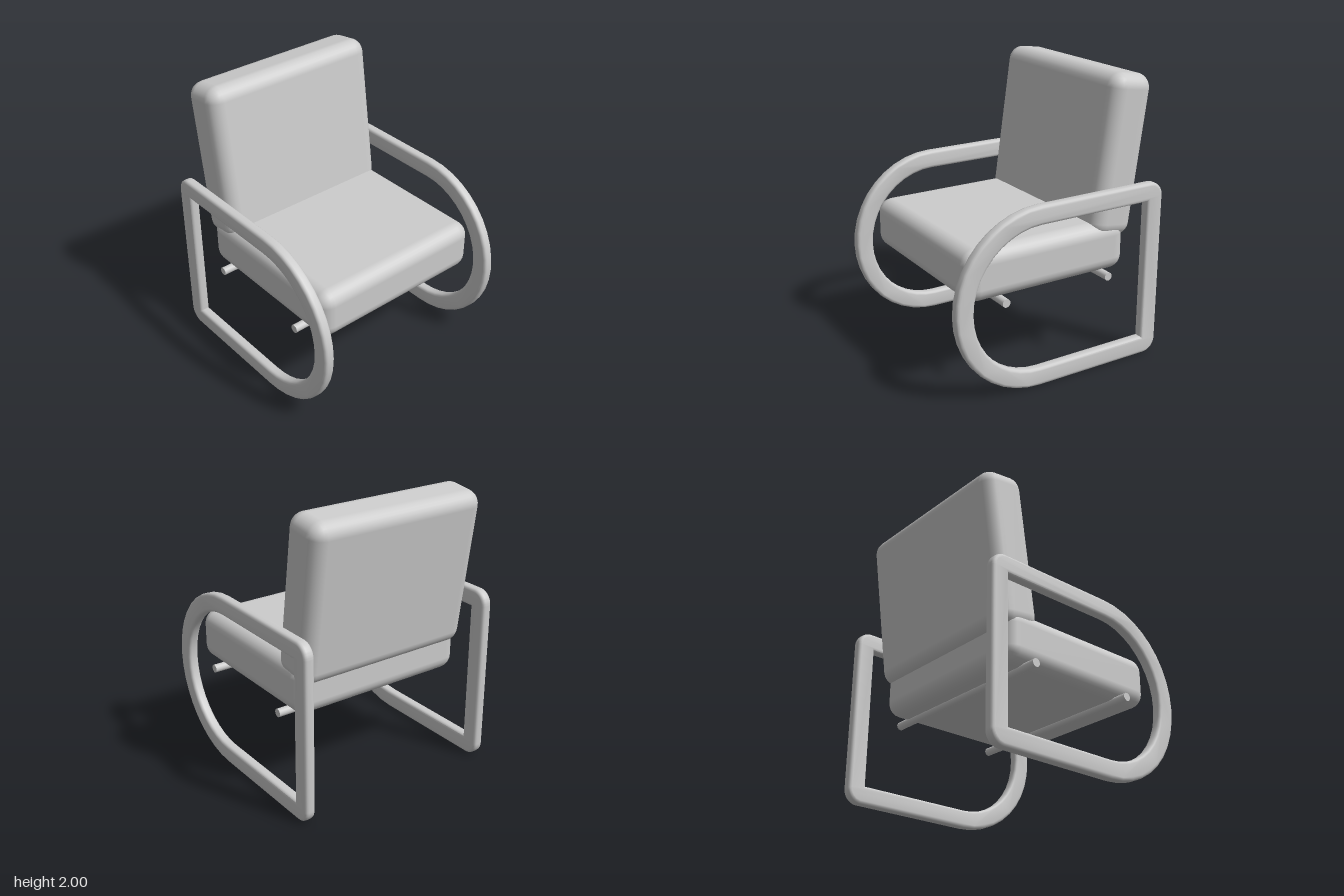
import * as THREE from 'three';
import { toCreasedNormals } from 'three/addons/utils/BufferGeometryUtils.js';
import { RoundedBoxGeometry } from 'three/addons/geometries/RoundedBoxGeometry.js';

const FRAME_HEIGHT = 1.264, BAR = 0.13, BACK = -0.806, ARC_Z = 0.174;

// D-shaped side frame, drawn in (z, y) and extruded across x
function frameGeometry() {
  const R = FRAME_HEIGHT / 2, r = R - BAR, corner = 0.1, bevel = 0.022, width = 0.075;
  const shape = new THREE.Shape();
  shape.moveTo(BACK + corner, 0);
  shape.lineTo(ARC_Z, 0);
  shape.absarc(ARC_Z, R, R, -Math.PI / 2, Math.PI / 2, false);
  shape.lineTo(BACK + corner, FRAME_HEIGHT);
  shape.absarc(BACK + corner, FRAME_HEIGHT - corner, corner, Math.PI / 2, Math.PI, false);
  shape.lineTo(BACK, corner);
  shape.absarc(BACK + corner, corner, corner, Math.PI, Math.PI * 1.5, false);

  // Opening: rounded in front, square at the back
  const hole = new THREE.Path();
  hole.moveTo(BACK + BAR, BAR);
  hole.lineTo(BACK + BAR, FRAME_HEIGHT - BAR);
  hole.lineTo(ARC_Z, FRAME_HEIGHT - BAR);
  hole.absarc(ARC_Z, R, r, Math.PI / 2, -Math.PI / 2, true);
  hole.lineTo(BACK + BAR, BAR);
  shape.holes.push(hole);

  const geometry = new THREE.ExtrudeGeometry(shape, {
    depth: width - 2 * bevel, bevelEnabled: true, bevelThickness: bevel,
    bevelSize: bevel, bevelOffset: -bevel, bevelSegments: 3, curveSegments: 10,
  });
  geometry.translate(0, 0, bevel - width / 2);
  geometry.rotateY(-Math.PI / 2);
  return toCreasedNormals(geometry, 0.7);
}

export function createModel() {
  const group = new THREE.Group();
  group.name = 'armchair';
  const grey = new THREE.MeshStandardMaterial({ color: 0xcccccc });
  grey.name = 'light grey';

  const add = (name, geometry, x, y, z) => {
    const mesh = new THREE.Mesh(geometry, grey);
    mesh.name = name;
    mesh.position.set(x, y, z);
    group.add(mesh);
    return mesh;
  };

  // Side frames
  const frame = frameGeometry();
  add('leftFrame', frame, 0.733, 0, 0);
  add('rightFrame', frame, -0.733, 0, 0);

  // Cushions
  add('seatCushion', new RoundedBoxGeometry(1.34, 0.36, 1.255, 3, 0.1), 0, 0.82, 0.038);
  const back = add('backCushion', new RoundedBoxGeometry(1.34, 1.12, 0.33, 3, 0.1), 0, 1.435, -0.548);
  back.rotation.x = THREE.MathUtils.degToRad(-8);

  // Cross rods under the seat
  const rod = new THREE.CylinderGeometry(0.029, 0.029, 1.43, 16).rotateZ(Math.PI / 2);
  add('frontRod', rod, 0, 0.634, 0.408);
  add('rearRod', rod, 0, 0.634, -0.408);

  return group;
}
